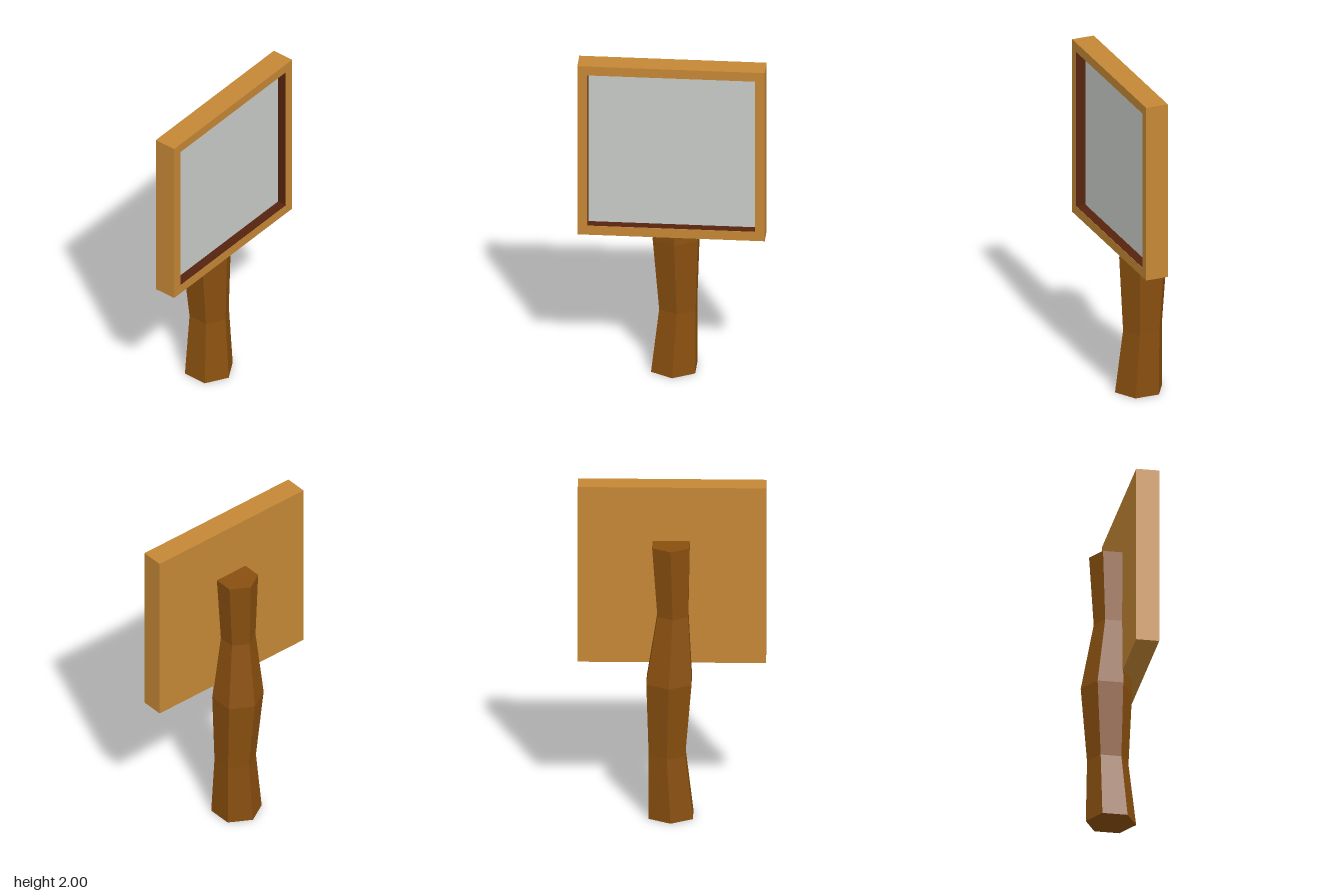
import * as THREE from 'three';

const mat = (name, color) => {
  const m = new THREE.MeshStandardMaterial({ color });
  m.name = name;
  return m;
};

export function createModel() {
  const frameWood = mat('light wood', 0xc48735);
  const postWood = mat('dark wood', 0x894f0f);
  const linerWood = mat('red brown', 0x56230f);
  const panelGrey = mat('pale grey', 0xc8cbc7);
  postWood.flatShading = true;

  const model = new THREE.Group();
  const add = (name, geometry, material, x = 0, y = 0, z = 0) => {
    const mesh = new THREE.Mesh(geometry, material);
    mesh.name = name;
    mesh.position.set(x, y, z);
    model.add(mesh);
    return mesh;
  };

  // Gnarled six-sided post: each ring is [y, centre x, centre z, radius]
  const rings = [
    [0, 0.003, -0.002, 0.147],
    [0.39, 0.025, -0.017, 0.121],
    [0.84, 0.013, -0.027, 0.15],
    [1.24, -0.008, -0.003, 0.102],
    [1.67, 0.003, -0.006, 0.124],
  ];
  const post = new THREE.CylinderGeometry(1, 1, rings.length - 1, 6, rings.length - 1);
  const p = post.attributes.position;
  for (let i = 0; i < p.count; i++) {
    const [y, cx, cz, r] = rings[Math.round(p.getY(i) + (rings.length - 1) / 2)];
    p.setXYZ(i, cx + p.getX(i) * r, y, cz + p.getZ(i) * r);
  }
  post.computeVertexNormals();
  add('post', post, postWood);

  // Square frame with an open middle
  const half = 0.54, inner = 0.483, cy = 1.46, back = 0.045, front = 0.18, panelZ = 0.122;
  const square = (Type, h) => new Type([[-h, -h], [h, -h], [h, h], [-h, h]].map(([x, y]) => new THREE.Vector2(x, y)));
  const outline = square(THREE.Shape, half);
  outline.holes.push(square(THREE.Path, inner));
  add('frame', new THREE.ExtrudeGeometry(outline, { depth: front - back, bevelEnabled: false }), frameWood, 0, cy, back);

  // Backing board closing the frame, and the sign face on it
  const boardDepth = panelZ - 0.004 - back;
  add('backBoard', new THREE.BoxGeometry(inner * 2, inner * 2, boardDepth), frameWood, 0, cy, back + boardDepth / 2);
  add('signFace', new THREE.BoxGeometry(inner * 2, inner * 2, 0.004), panelGrey, 0, cy, panelZ - 0.002);

  // Dark lining on the four inner walls of the recess
  const depth = front - panelZ;
  for (let i = 0; i < 4; i++) {
    const wall = new THREE.PlaneGeometry(inner * 2, depth);
    wall.rotateX(-Math.PI / 2);
    wall.translate(0, -inner + 0.002, 0);
    wall.rotateZ((i * Math.PI) / 2);
    add('recessLining', wall, linerWood, 0, cy, panelZ + depth / 2);
  }

  // Centre the whole depth on z = 0
  const box = new THREE.Box3().setFromObject(model);
  const shift = (box.min.z + box.max.z) / 2;
  model.children.forEach((c) => { c.position.z -= shift; });
  return model;
}
